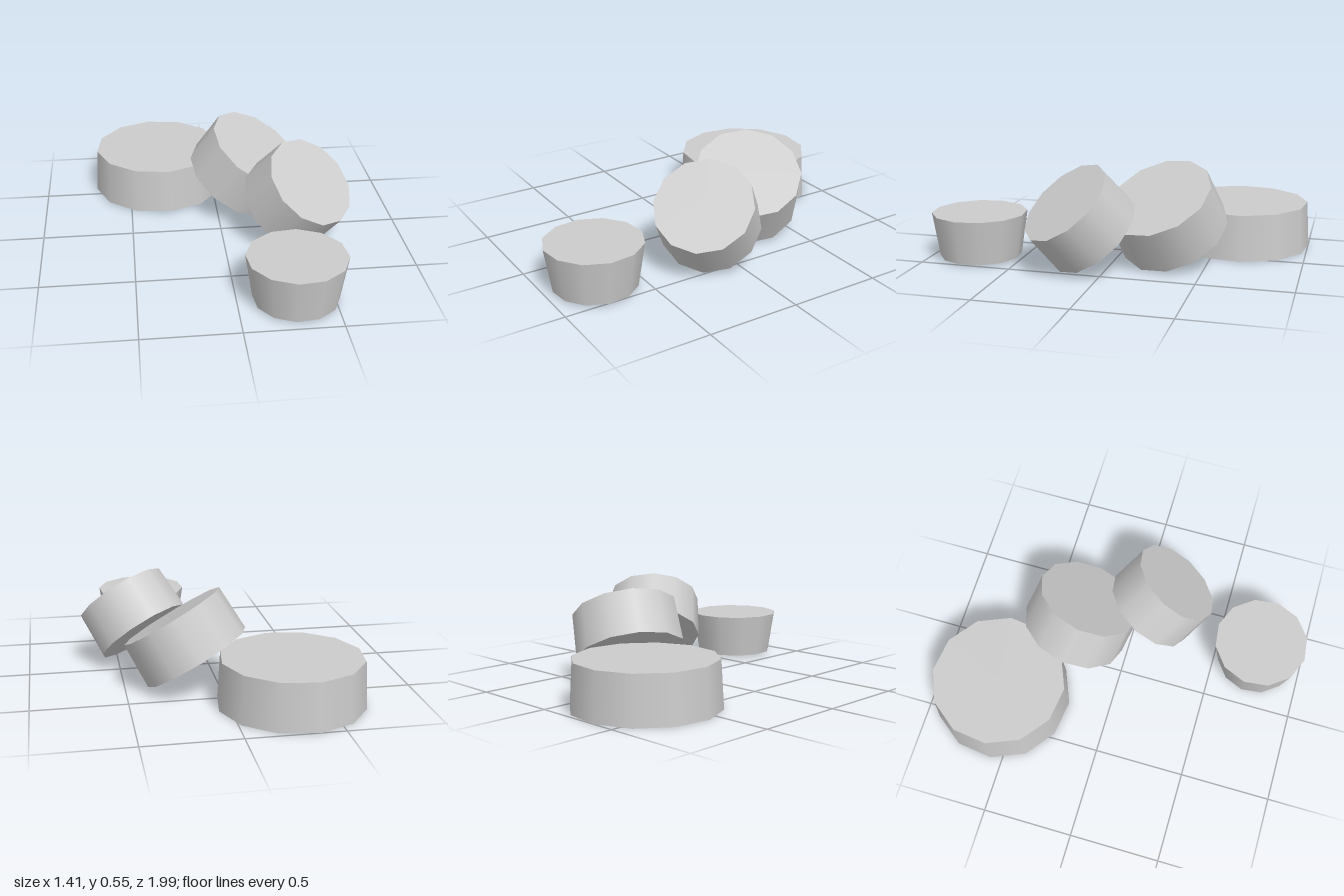
import * as THREE from 'three';

const SIDES = 12;

// Tapered twelve-sided block, placed by the centre of its top face,
// its axis, and the direction of one corner of the rim.
function block(name, top, axis, corner, rTop, rBottom, height) {
  const geometry = new THREE.CylinderGeometry(rTop, rBottom, height, SIDES);
  geometry.translate(0, -height / 2, 0);

  const y = new THREE.Vector3(...axis).normalize();
  const x = new THREE.Vector3().crossVectors(y, new THREE.Vector3(...corner)).normalize();
  const z = new THREE.Vector3().crossVectors(x, y);

  const mesh = new THREE.Mesh(geometry, new THREE.MeshStandardMaterial({ color: 0xcccccc }));
  mesh.name = name;
  mesh.quaternion.setFromRotationMatrix(new THREE.Matrix4().makeBasis(x, y, z));
  mesh.position.set(...top);
  return mesh;
}

export function createModel() {
  const model = new THREE.Group();
  model.name = 'fallenBlocks';
  model.add(
    // Widest block, lying flat at the back
    block('largeFlatBlock', [-0.322, 0.253, -0.617], [0, 1, 0], [-0.05, 0, -0.385], 0.372, 0.387, 0.253),
    // Two blocks leaning one on the other
    block('rearLeaningBlock', [0.24, 0.378, -0.25], [0.48, 0.84, 0.25], [-0.21, 0.157, -0.13], 0.293, 0.302, 0.255),
    block('frontLeaningBlock', [0.47, 0.377, 0.194], [0.46, 0.745, 0.485], [-0.14, 0.185, -0.135], 0.264, 0.272, 0.25),
    // Smallest block, flat at the front and narrower below
    block('smallFlatBlock', [0.302, 0.253, 0.737], [0, 1, 0], [0.038, 0, -0.257], 0.26, 0.222, 0.242),
  );
  return model;
}
